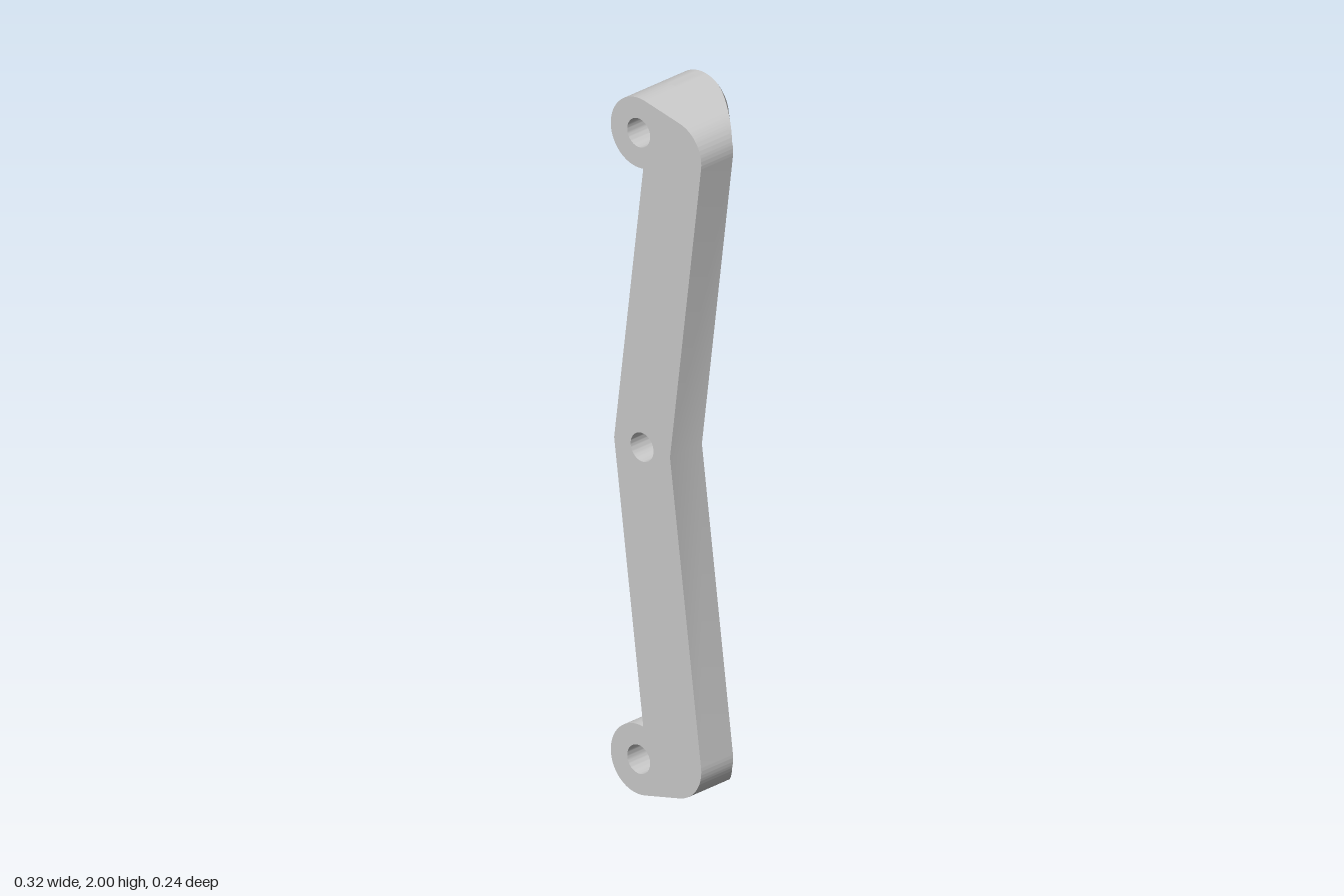
import * as THREE from 'three';
import { toCreasedNormals } from 'three/addons/utils/BufferGeometryUtils.js';

const R = 0.1, HOLE = 0.041, FLARE = 0.22;           // boss, hole and flare base radii
const FRONT = 0.121, PLATE_BACK = -0.003, BACK = -0.121;
const boss = new THREE.Vector2(-0.062, 1.9);         // upper boss centre
const corner = new THREE.Vector2(0.062, 1.872);      // upper rounded corner centre
const aSide = -Math.atan(0.13);                      // normal angle of the long edges
const aTop = Math.PI / 2 + Math.atan2(corner.y - boss.y, corner.x - boss.x);
const nSide = new THREE.Vector2(Math.cos(aSide), Math.sin(aSide));
const nTop = new THREE.Vector2(Math.cos(aTop), Math.sin(aTop));
// distance from the boss centre to the arm's inner edge, and where they meet
const inner = nSide.dot(new THREE.Vector2(-0.15, 1).sub(boss));
const aMeet = aSide - Math.acos(inner / R);
const aStart = aSide - Math.acos(inner / FLARE);

// is a point within the outer outline of the upper end?
function inside(p) {
  const q = p.clone().sub(corner);
  if (q.dot(nSide) > R || q.dot(nTop) > R) return false;
  const a = Math.atan2(q.y, q.x);
  return a < aSide || a > aTop || q.length() <= R;
}

// distance along a ray from the boss to the outline, at most the flare radius
function reach(a) {
  const at = r => new THREE.Vector2(Math.cos(a), Math.sin(a)).multiplyScalar(r).add(boss);
  if (inside(at(FLARE))) return FLARE;
  let lo = R, hi = FLARE;
  for (let i = 0; i < 30; i++) {
    const mid = (lo + hi) / 2;
    if (inside(at(mid))) lo = mid; else hi = mid;
  }
  return lo;
}

// bent arm with rounded ends and three through holes
function plateGeometry() {
  const s = new THREE.Shape();
  const T = 2 * Math.PI;
  s.absarc(corner.x, corner.y, R, aSide, aTop, false);
  s.absarc(boss.x, boss.y, R, aTop, aMeet + T, false);
  s.lineTo(-0.15, 1);
  s.absarc(boss.x, 2 - boss.y, R, -aMeet, T - aTop, false);
  s.absarc(corner.x, 2 - corner.y, R, -aTop, -aSide, false);
  s.lineTo(0.05, 1);
  s.closePath();
  for (const [x, y] of [[boss.x, boss.y], [-0.05, 1], [boss.x, 2 - boss.y]]) {
    s.holes.push(new THREE.Path().absarc(x, y, HOLE, 0, T, true));
  }
  const g = new THREE.ExtrudeGeometry(s, { depth: FRONT - PLATE_BACK, bevelEnabled: false, curveSegments: 32 });
  g.translate(0, 0, PLATE_BACK);
  return toCreasedNormals(g, 0.5);
}

// hollow cylinder standing off the back of the plate
function bossGeometry() {
  const pts = [[HOLE, PLATE_BACK], [HOLE, BACK], [R, BACK], [R, PLATE_BACK]];
  const g = new THREE.LatheGeometry(pts.map(p => new THREE.Vector2(...p)), 64);
  g.rotateX(Math.PI / 2);
  return toCreasedNormals(g, 0.5);
}

// conical brace around the boss, trimmed to the arm's outline
function flareGeometry(mirror) {
  const M = 12, N = 72, verts = [], index = [];
  const coneZ = r => BACK + (r - R) * (PLATE_BACK - BACK) / (FLARE - R);
  for (let i = 0; i <= N; i++) {
    // the first M steps run along the arm's inner edge, the rest around the boss
    const a = i < M ? THREE.MathUtils.lerp(aStart, aMeet, i / M)
      : THREE.MathUtils.lerp(aMeet, aTop, (i - M) / (N - M));
    const rIn = i < M ? inner / Math.cos(a - aSide) : R;
    const rOut = Math.max(rIn, reach(a));
    for (const [r, z] of [[rIn, PLATE_BACK], [rIn, coneZ(rIn)], [rOut, coneZ(rOut)], [rOut, PLATE_BACK]]) {
      const y = boss.y + r * Math.sin(a);
      verts.push(boss.x + r * Math.cos(a), mirror ? 2 - y : y, z);
    }
  }
  for (let i = 0; i < N; i++) {
    for (let k = i < M ? 0 : 1; k < 3; k++) {
      const a = i * 4 + k, b = a + 4, c = a + 5, d = a + 1;
      if (mirror) index.push(a, c, b, a, d, c);
      else index.push(a, b, c, a, c, d);
    }
  }
  const g = new THREE.BufferGeometry();
  g.setAttribute('position', new THREE.Float32BufferAttribute(verts, 3));
  g.setIndex(index);
  return toCreasedNormals(g, 0.5);
}

export function createModel() {
  const group = new THREE.Group();
  group.name = 'bracket';
  const material = new THREE.MeshStandardMaterial({ color: 0xcccccc });
  const add = (name, geometry) => {
    const mesh = new THREE.Mesh(geometry, material);
    mesh.name = name;
    group.add(mesh);
    return mesh;
  };
  add('bentArm', plateGeometry());
  for (const mirror of [false, true]) {
    const end = mirror ? 'lower' : 'upper';
    add(end + 'Boss', bossGeometry()).position.set(boss.x, mirror ? 2 - boss.y : boss.y, 0);
    add(end + 'Flare', flareGeometry(mirror));
  }
  return group;
}
